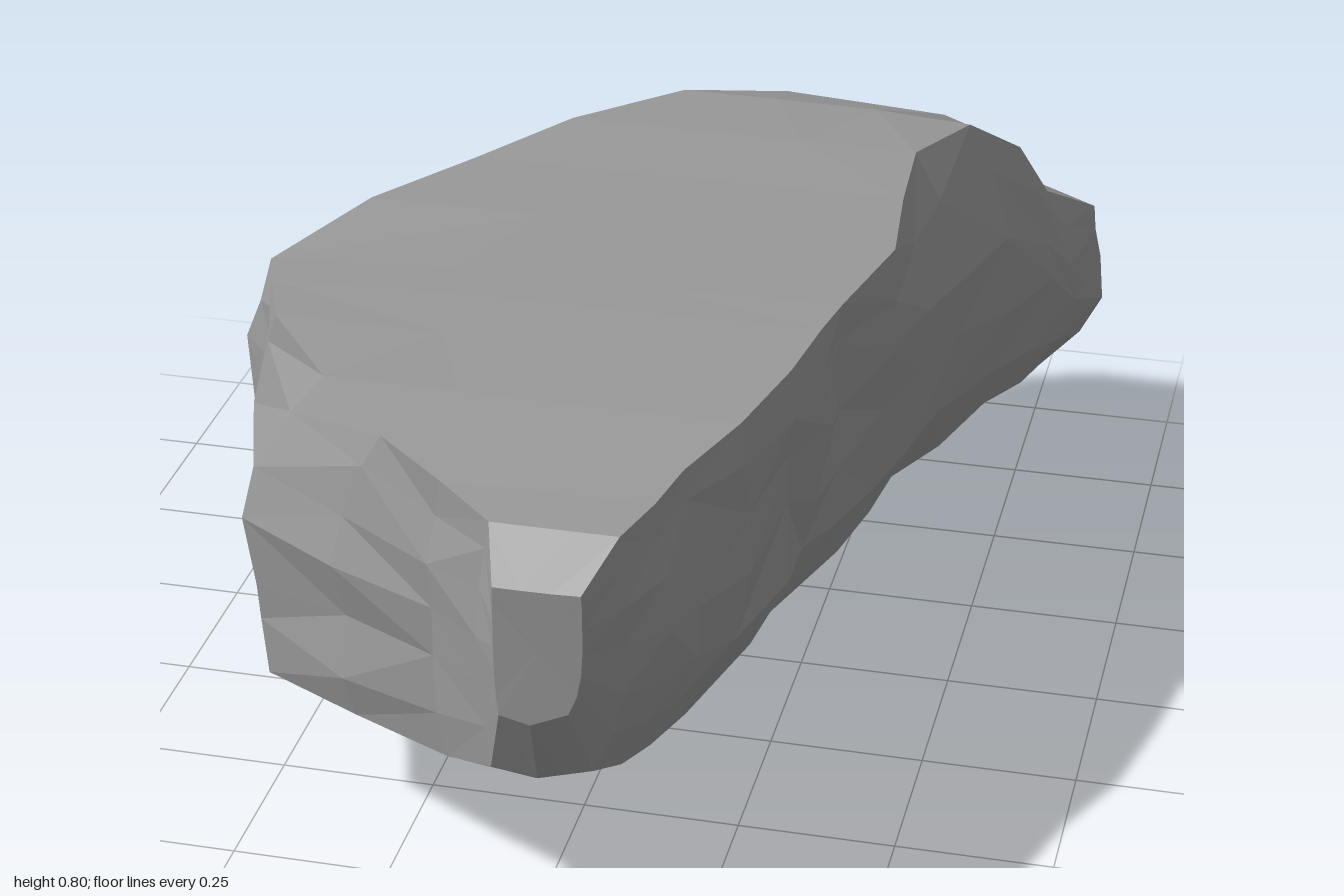
import * as THREE from 'three';

// Cross-sections from front to back:
// z, left x, right x, top y, top inset left, top inset right, bottom y left, bottom inset
const SECTIONS = [
  [1.00, 0.00, 0.13, 0.69, 0.00, 0.00, 0.48, 0.02],
  [0.94, -0.04, 0.18, 0.76, 0.02, 0.01, 0.35, 0.05],
  [0.85, -0.14, 0.22, 0.765, 0.02, 0.02, 0.30, 0.07],
  [0.76, -0.31, 0.25, 0.775, 0.08, 0.03, 0.29, 0.08],
  [0.63, -0.50, 0.295, 0.79, 0.14, 0.02, 0.26, 0.10],
  [0.46, -0.55, 0.325, 0.795, 0.06, 0.01, 0.25, 0.12],
  [0.33, -0.55, 0.345, 0.80, 0.01, 0.01, 0.23, 0.14],
  [0.24, -0.62, 0.36, 0.80, 0.05, 0.01, 0.24, 0.15],
  [0.02, -0.48, 0.40, 0.795, 0.01, 0.01, 0.20, 0.18],
  [-0.17, -0.36, 0.42, 0.795, 0.01, 0.05, 0.15, 0.21],
  [-0.35, -0.24, 0.45, 0.80, 0.01, 0.09, 0.10, 0.24],
  [-0.54, -0.09, 0.50, 0.79, 0.01, 0.08, 0.04, 0.25],
  [-0.71, 0.06, 0.555, 0.73, 0.01, 0.07, 0.07, 0.20],
  [-0.78, 0.16, 0.59, 0.62, 0.02, 0.06, 0.09, 0.20],
  [-0.87, 0.22, 0.625, 0.53, 0.02, 0.02, 0.10, 0.22],
  [-0.96, 0.28, 0.57, 0.42, 0.02, 0.01, 0.11, 0.10],
  [-1.00, 0.30, 0.36, 0.26, 0.00, 0.00, 0.17, 0.01],
];

// Lowest point of the underside at each section
const KEEL = [0.47, 0.34, 0.30, 0.28, 0.255, 0.22, 0.195, 0.175, 0.115, 0.075, 0.04, 0, 0.06, 0.075, 0.08, 0.105, 0.165];

// Side profile from top to bottom: height fraction, share of top inset, share of bottom inset
const SIDE = [[0, 1, 0], [0.12, 0.5, 0], [0.28, 0.08, 0], [0.46, 0, 0], [0.66, 0, 0.12], [0.84, 0, 0.45], [1, 0, 1]];

const lerp = THREE.MathUtils.lerp;
const bell = (z, centre, width) => Math.exp(-(((z - centre) / width) ** 2));

// Repeatable noise in -1..1
function noise(i, j, k) {
  const s = Math.sin(i * 127.1 + j * 311.7 + k * 74.7) * 43758.5453;
  return 2 * (s - Math.floor(s)) - 1;
}

// Bumps fade out towards both ends
function roughness(i, j) {
  if (j === 0 || j === SIDE.length - 1) return 0.002;
  const fromEnd = Math.min(i, SECTIONS.length - 1 - i);
  return 0.02 * Math.min(1, fromEnd / 4);
}

function makeRing([z, xl, xr, top, tl, tr, bottomLeftY, inset], i) {
  const side = (x, dir, topY, topInset, bottomY, bottomInset) => SIDE.map(([t, a, b], j) => {
    const rough = roughness(i, j);
    const seed = j + (dir > 0 ? 20 : 40);
    const recess = topInset * a + bottomInset * b + rough * (0.3 - 0.7 * noise(i, seed, 1));
    return new THREE.Vector3(
      x - dir * recess,
      lerp(topY, bottomY, t) + noise(i, seed, 2) * rough,
      z + noise(i, seed, 3) * rough);
  });
  // the top dips at the left corner and along the right of the tail
  const right = side(xr, 1, top - 0.07 * bell(z, -0.74, 0.17), tr, KEEL[i] + 0.025, inset);
  const left = side(xl, -1, top - 0.025 * bell(z, 0.24, 0.12), tl, bottomLeftY, inset * 0.3).reverse();
  const topLeft = left[left.length - 1];
  const bottomRight = right[right.length - 1];

  // top, right side, keeled underside, left side
  const topPoints = [0.33, 0.67].map((t) => {
    const p = topLeft.clone().lerp(right[0], t);
    return p.setY(lerp(p.y, top, 0.6));
  });
  const keel = bottomRight.clone().lerp(left[0], 0.55).setY(KEEL[i]);
  const mid = bottomRight.clone().lerp(keel, 0.5);
  return [...topPoints, ...right, mid, keel, ...left];
}

function makeRockGeometry() {
  const rings = SECTIONS.map(makeRing);
  const n = rings[0].length;
  const verts = [];
  const tri = (...points) => points.forEach((p) => verts.push(p.x, p.y, p.z));

  // faceted skin with varied diagonals
  for (let i = 0; i < rings.length - 1; i++) {
    for (let j = 0; j < n; j++) {
      const k = (j + 1) % n;
      const a = rings[i][j], b = rings[i][k], c = rings[i + 1][k], d = rings[i + 1][j];
      if (noise(i, j, 9) > 0) { tri(a, b, c); tri(a, c, d); }
      else { tri(a, b, d); tri(b, c, d); }
    }
  }
  // end caps
  for (const [ring, front] of [[rings[0], true], [rings[rings.length - 1], false]]) {
    const centre = ring.reduce((s, p) => s.add(p), new THREE.Vector3()).divideScalar(n);
    for (let j = 0; j < n; j++) {
      const a = ring[j], b = ring[(j + 1) % n];
      if (front) tri(centre, b, a); else tri(centre, a, b);
    }
  }
  const geometry = new THREE.BufferGeometry();
  geometry.setAttribute('position', new THREE.Float32BufferAttribute(verts, 3));
  geometry.computeVertexNormals();
  return geometry;
}

export function createModel() {
  const stone = new THREE.MeshStandardMaterial({ color: 0x999999, flatShading: true });
  stone.name = 'grey stone';
  const rock = new THREE.Mesh(makeRockGeometry(), stone);
  rock.name = 'rock';
  const group = new THREE.Group();
  group.name = 'flatToppedRock';
  group.add(rock);
  return group;
}
